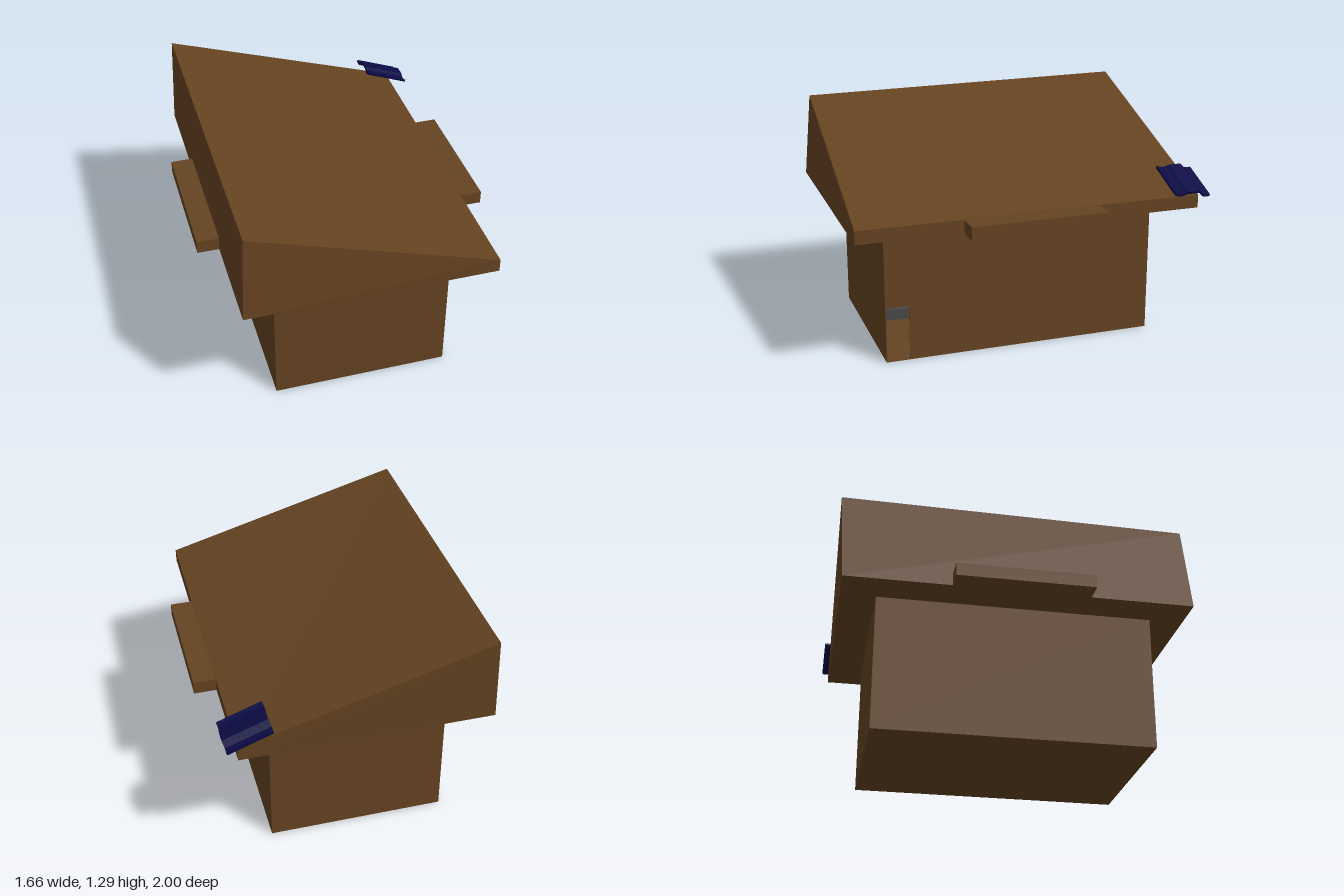
import * as THREE from 'three';

const brown = new THREE.MeshStandardMaterial({ color: 0x654321 });
brown.name = 'brown wood';
const navy = new THREE.MeshStandardMaterial({ color: 0x0b0b45 });
navy.name = 'navy tile';
const gray = new THREE.MeshStandardMaterial({ color: 0x484848 });
gray.name = 'gray stone';

// Box given by its min and max corners
function block(parent, name, material, [x0, y0, z0], [x1, y1, z1]) {
  const geometry = new THREE.BoxGeometry(x1 - x0, y1 - y0, z1 - z0);
  geometry.translate((x0 + x1) / 2, (y0 + y1) / 2, (z0 + z1) / 2);
  const mesh = new THREE.Mesh(geometry, material);
  mesh.name = name;
  parent.add(mesh);
  return mesh;
}

export function createModel() {
  const model = new THREE.Group();
  model.name = 'house';

  // Hollow room with thin walls and a doorway in the left wall
  const W = 0.5, H = 0.785, F = 0.805, B = -0.765, T = 0.005;
  const room = new THREE.Group();
  room.name = 'room';
  model.add(room);
  block(room, 'floor', brown, [-W, 0, B], [W, T, F]);
  block(room, 'frontWall', brown, [-W, 0, F - T], [W, H, F]);
  block(room, 'backWall', brown, [-W, 0, B], [W, H, B + T]);
  block(room, 'rightWall', brown, [-W, 0, B + T], [-W + T, H, F - T]);
  const wall = new THREE.Shape([[-F + T, 0.32], [-0.67, 0.32], [-0.67, 0], [-B - T, 0], [-B - T, H], [-F + T, H]]
    .map(([x, y]) => new THREE.Vector2(x, y)));
  const leftWall = new THREE.Mesh(new THREE.ExtrudeGeometry(wall, { depth: T, bevelEnabled: false }), brown);
  leftWall.name = 'leftWall';
  leftWall.rotation.y = Math.PI / 2;
  leftWall.position.x = W - T;
  room.add(leftWall);
  block(room, 'partition', brown, [-T / 2, T, B + T], [T / 2, H, -0.37]);

  // Stairs inside, rising away from the doorway
  const stairs = new THREE.Group();
  stairs.name = 'stairs';
  room.add(stairs);
  for (let i = 0; i < 8; i++) {
    block(stairs, 'step', gray, [-0.05 - (i + 1) * 0.05, T, 0.5], [-0.05 - i * 0.05, 0.07 + i * 0.064, 0.73]);
  }

  // Sloping roof: a box whose corners are moved to a skewed wedge
  const roofGeometry = new THREE.BoxGeometry(2, 2, 2);
  const p = roofGeometry.attributes.position;
  for (let i = 0; i < p.count; i++) {
    const right = p.getX(i) < 0, top = p.getY(i) > 0, front = p.getZ(i) > 0;
    if (right && top) p.setXYZ(i, -0.68, front ? 1.27 : 1.29, front ? 0.96 : -0.99);
    else p.setXYZ(i, right ? -0.707 : 0.703, top ? 0.857 : 0.782, front ? 1 : -0.963);
  }
  const roof = new THREE.Mesh(roofGeometry.toNonIndexed(), brown);
  roof.geometry.computeVertexNormals();
  roof.name = 'roof';
  model.add(roof);

  // Ledges on both sides of the roof
  for (const side of [-1, 1]) {
    const inner = side * 0.69, outer = side * 0.828;
    block(model, side > 0 ? 'leftLedge' : 'rightLedge', brown,
      [Math.min(inner, outer), 0.78, -0.365], [Math.max(inner, outer), 0.855, 0.41]);
  }

  // Wavy tile laid along the slope above the back left corner
  const profile = [[0.78, 0.03], [0.8, 0.022], [0.82, 0.018], [0.84, 0.022], [0.86, 0.03],
    [0.93, 0.03], [0.96, 0], [1, 0]];
  const outline = [...profile, ...profile.map(([x, y]) => [x, y + 0.014]).reverse()];
  const tileShape = new THREE.Shape(outline.map(([x, y]) => new THREE.Vector2(x, y)));
  const tileGeometry = new THREE.ExtrudeGeometry(tileShape, { depth: 0.262, bevelEnabled: false });
  const slope = new THREE.Vector3(0.936, -0.351, 0).normalize();
  const normal = new THREE.Vector3(-slope.y, slope.x, 0);
  tileGeometry.applyMatrix4(new THREE.Matrix4()
    .makeBasis(new THREE.Vector3(0, 0, -1), normal, slope)
    .setPosition(0.518, 0.955, 0));
  const tile = new THREE.Mesh(tileGeometry, navy);
  tile.name = 'roofTile';
  model.add(tile);

  return model;
}
